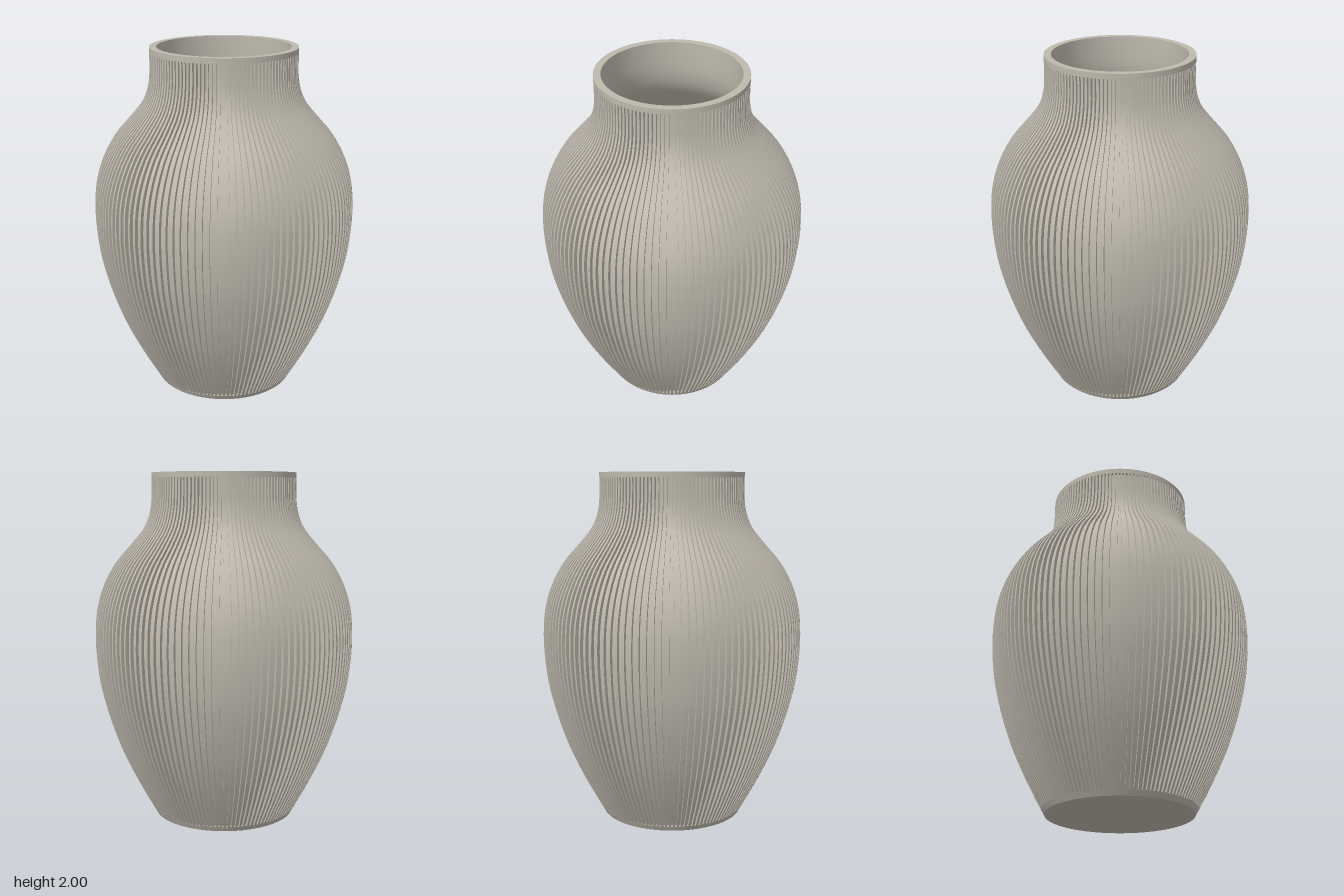
import * as THREE from 'three';
import { mergeGeometries } from 'three/addons/utils/BufferGeometryUtils.js';

const RIBS = 120, RIB_WIDTH = 0.0126, RIB_DEPTH = 0.022, WALL = 0.04;
const BAND = 0.03, HEIGHT = 2, ROWS = 52, SIDES = 120;

// Outer silhouette as [height, radius]
const silhouette = new THREE.CatmullRomCurve3([
  [0, 0.412], [0.2, 0.52], [0.4, 0.613], [0.6, 0.682], [0.8, 0.73], [1, 0.75],
  [1.1, 0.75], [1.2, 0.742], [1.3, 0.72], [1.4, 0.68], [1.5, 0.62], [1.6, 0.533],
  [1.7, 0.455], [1.8, 0.422], [1.9, 0.415], [2, 0.415],
].map(([y, r]) => new THREE.Vector3(r, y, 0)));
const samples = silhouette.getPoints(300);

function radiusAt(y) {
  const i = Math.max(1, samples.findIndex(p => p.y >= y - 1e-9));
  const a = samples[i - 1], b = samples[i];
  return THREE.MathUtils.lerp(a.x, b.x, (y - a.y) / (b.y - a.y));
}

// Profile of the silhouette between two heights, moved inward by an offset
function profile(y0, y1, offset, rows = ROWS) {
  return Array.from({ length: rows + 1 }, (_, i) => {
    const y = y0 + (y1 - y0) * i / rows;
    return new THREE.Vector2(radiusAt(y) - offset, y);
  });
}

const lathe = points => new THREE.LatheGeometry(points, SIDES);
const flatRing = (r0, r1, y) => lathe([new THREE.Vector2(r0, y), new THREE.Vector2(r1, y)]);

// One rib facing +z: three separate strips so its edges stay sharp
function ribGeometry() {
  const outer = profile(BAND, HEIGHT - BAND, 0);
  const w = RIB_WIDTH / 2, d = RIB_DEPTH + 0.003;
  const columns = [
    [[-w, 0], [w, 0]],
    [[-w, d], [-w, 0]],
    [[w, 0], [w, d]],
  ];
  const strips = columns.map(pair => {
    const pos = [], index = [];
    outer.forEach((p, i) => {
      for (const [x, inset] of pair) pos.push(x, p.y, p.x - inset);
      if (i < ROWS) {
        const a = 2 * i;
        index.push(a, a + 1, a + 2, a + 1, a + 3, a + 2);
      }
    });
    const g = new THREE.BufferGeometry();
    g.setAttribute('position', new THREE.Float32BufferAttribute(pos, 3));
    g.setIndex(index);
    g.computeVertexNormals();
    return g;
  });
  return mergeGeometries(strips);
}

export function createModel() {
  const group = new THREE.Group();
  const clay = new THREE.MeshStandardMaterial({ color: 0xbfb9ad });
  clay.name = 'warm grey clay';
  const add = (name, ...parts) => {
    const mesh = new THREE.Mesh(parts.length > 1 ? mergeGeometries(parts) : parts[0], clay);
    mesh.name = name;
    group.add(mesh);
  };
  const top = HEIGHT - BAND;
  const rimRadius = radiusAt(HEIGHT), mouth = rimRadius - WALL;

  // Smooth body behind the ribs
  add('body', lathe(profile(BAND, top, RIB_DEPTH)));

  // Vertical ribs all around
  const rib = ribGeometry();
  add('ribs', ...Array.from({ length: RIBS }, (_, i) =>
    rib.clone().rotateY(i / RIBS * Math.PI * 2)));

  // Plain band and underside at the foot
  const footTop = radiusAt(BAND);
  add('foot',
    flatRing(0, radiusAt(0), 0),
    lathe(profile(0, BAND, 0, 2)),
    flatRing(footTop, footTop - RIB_DEPTH, BAND));

  // Plain band and flat lip at the mouth
  const neck = radiusAt(top);
  add('rim',
    flatRing(neck - RIB_DEPTH, neck, top),
    lathe(profile(top, HEIGHT, 0, 2)),
    flatRing(rimRadius, mouth, HEIGHT));

  // Hollow inside, from the lip down to a rounded floor
  const inside = profile(HEIGHT, 0.22, WALL);
  const floor = new THREE.CubicBezierCurve(
    inside[ROWS], new THREE.Vector2(0.42, 0.09),
    new THREE.Vector2(0.3, 0.04), new THREE.Vector2(0, 0.04));
  add('interior', lathe([...inside, ...floor.getPoints(14).slice(1)]));

  return group;
}
